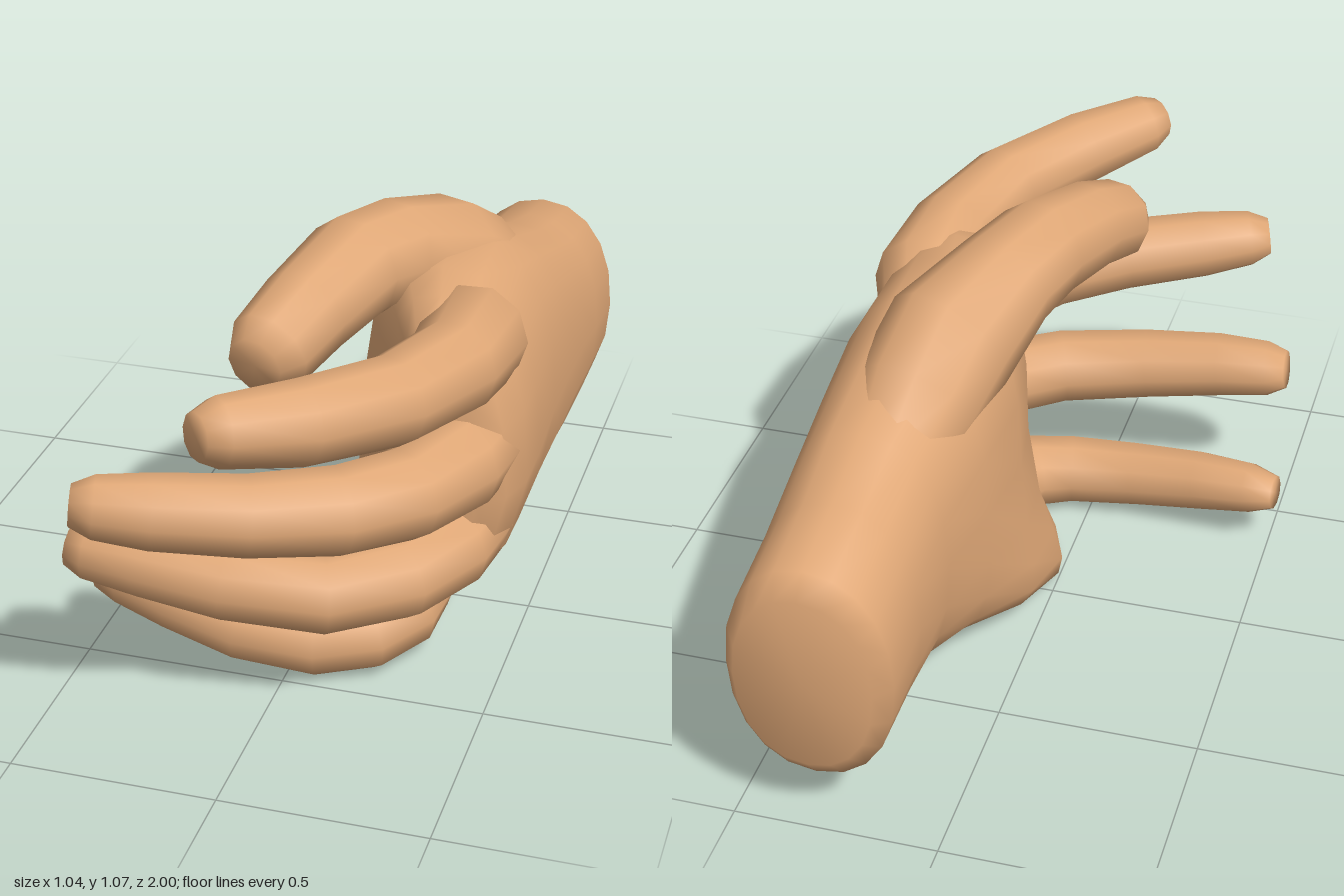
import * as THREE from 'three';

const skin = new THREE.MeshStandardMaterial({ color: 0xe0a877 });

// Skins a list of equal-sized rings into a smooth-shaded surface, closing the chosen ends.
function loft(name, rings, closedEnds) {
  const n = rings[0].length;
  const positions = [];
  const index = [];
  rings.forEach(ring => ring.forEach(p => positions.push(p.x, p.y, p.z)));
  for (let i = 0; i < rings.length - 1; i++) {
    for (let j = 0; j < n; j++) {
      const k = (j + 1) % n;
      const a = i * n + j, b = i * n + k, c = a + n, d = b + n;
      index.push(a, c, b, b, c, d);
    }
  }
  // End caps
  closedEnds.forEach(end => {
    const row = end === 'start' ? 0 : rings.length - 1;
    const centre = new THREE.Vector3();
    rings[row].forEach(p => centre.addScaledVector(p, 1 / n));
    const hub = positions.length / 3;
    positions.push(centre.x, centre.y, centre.z);
    for (let j = 0; j < n; j++) {
      const a = row * n + j, b = row * n + (j + 1) % n;
      if (end === 'start') index.push(hub, a, b);
      else index.push(hub, b, a);
    }
  });
  const geometry = new THREE.BufferGeometry();
  geometry.setAttribute('position', new THREE.Float32BufferAttribute(positions, 3));
  geometry.setIndex(index);
  geometry.computeVertexNormals();
  const mesh = new THREE.Mesh(geometry, skin);
  mesh.name = name;
  return mesh;
}

// A tapering digit through joints given as [x, y, z, radius]; its root is sunk in the palm.
function digit(name, joints, sides = 10) {
  const points = joints.map(([x, y, z]) => new THREE.Vector3(x, y, z));
  const up = new THREE.Vector3(0, 1, 0);
  const rings = points.map((p, i) => {
    const before = points[Math.max(i - 1, 0)];
    const after = points[Math.min(i + 1, points.length - 1)];
    const tangent = after.clone().sub(before).normalize();
    const side = tangent.clone().cross(up).normalize();
    const top = side.clone().cross(tangent);
    return Array.from({ length: sides }, (_, j) => {
      const a = (j / sides) * Math.PI * 2;
      return p.clone()
        .addScaledVector(side, Math.cos(a) * joints[i][3])
        .addScaledVector(top, Math.sin(a) * joints[i][3]);
    });
  });
  return loft(name, rings, ['end']);
}

// Wrist and palm: rounded sections [z, cx, cy, halfX, halfY, curlTop, curlBottom, roundness];
// the curls draw the upper and lower edges towards the palm side.
function palm() {
  const sections = [
    [-1.00, 0.307, 0.430, 0.165, 0.235, 0, 0, 0.92],
    [-0.95, 0.307, 0.423, 0.201, 0.292, 0, 0, 0.92],
    [-0.75, 0.307, 0.443, 0.201, 0.311, 0, 0, 0.90],
    [-0.55, 0.305, 0.472, 0.203, 0.342, 0, 0.01, 0.85],
    [-0.35, 0.288, 0.490, 0.225, 0.392, 0.01, 0.06, 0.80],
    [-0.15, 0.278, 0.497, 0.240, 0.452, 0.02, 0.15, 0.78],
    [0.05, 0.300, 0.475, 0.222, 0.470, 0.03, 0.23, 0.78],
    [0.18, 0.340, 0.468, 0.180, 0.463, 0.04, 0.25, 0.78],
    [0.27, 0.360, 0.465, 0.130, 0.440, 0.05, 0.24, 0.78],
    [0.32, 0.360, 0.465, 0.070, 0.400, 0.04, 0.21, 0.78],
  ];
  const sides = 20;
  const rings = sections.map(([z, cx, cy, hx, hy, curlTop, curlBottom, roundness]) =>
    Array.from({ length: sides }, (_, j) => {
      const a = (j / sides) * Math.PI * 2;
      const soft = v => Math.sign(v) * Math.abs(v) ** roundness;
      const v = soft(Math.sin(a));
      const curl = (v > 0 ? curlTop : curlBottom) * v * v;
      return new THREE.Vector3(cx - soft(Math.cos(a)) * hx - curl, cy + v * hy, z);
    }));
  return loft('palm', rings, ['start', 'end']);
}

export function createModel() {
  const hand = new THREE.Group();
  hand.name = 'hand';
  hand.add(
    palm(),
    digit('thumb', [
      [0.275, 0.67, -0.49, 0.125], [0.25, 0.765, -0.32, 0.16], [0.205, 0.855, -0.17, 0.168],
      [0.12, 0.935, 0.00, 0.135], [0.07, 0.952, 0.13, 0.128], [0.01, 0.915, 0.33, 0.115],
      [-0.035, 0.87, 0.46, 0.105], [-0.05, 0.86, 0.52, 0.07],
    ]),
    digit('indexFinger', [
      [0.34, 0.77, 0.00, 0.10], [0.368, 0.81, 0.14, 0.132], [0.365, 0.83, 0.35, 0.115],
      [0.29, 0.855, 0.59, 0.105], [0.14, 0.88, 0.79, 0.098], [0.00, 0.905, 0.925, 0.08],
      [-0.035, 0.91, 0.965, 0.055],
    ]),
    digit('middleFinger', [
      [0.37, 0.555, 0.08, 0.09], [0.385, 0.56, 0.19, 0.122], [0.37, 0.565, 0.32, 0.122],
      [0.30, 0.57, 0.50, 0.11], [0.18, 0.585, 0.64, 0.105], [0.00, 0.60, 0.745, 0.097],
      [-0.20, 0.62, 0.82, 0.09], [-0.32, 0.635, 0.86, 0.075], [-0.37, 0.64, 0.875, 0.05],
    ]),
    digit('ringFinger', [
      [0.35, 0.34, 0.06, 0.08], [0.375, 0.335, 0.17, 0.112], [0.355, 0.33, 0.30, 0.112],
      [0.28, 0.325, 0.46, 0.105], [0.13, 0.32, 0.575, 0.10], [-0.10, 0.34, 0.62, 0.095],
      [-0.30, 0.365, 0.63, 0.087], [-0.43, 0.375, 0.63, 0.075], [-0.48, 0.38, 0.63, 0.052],
    ]),
    digit('littleFinger', [
      [0.23, 0.17, 0.04, 0.08], [0.245, 0.13, 0.17, 0.10], [0.23, 0.115, 0.27, 0.107],
      [0.17, 0.10, 0.37, 0.10], [0.06, 0.09, 0.425, 0.093], [-0.12, 0.10, 0.435, 0.087],
      [-0.30, 0.13, 0.41, 0.08], [-0.44, 0.15, 0.385, 0.068], [-0.51, 0.155, 0.375, 0.045],
    ]),
  );
  return hand;
}
